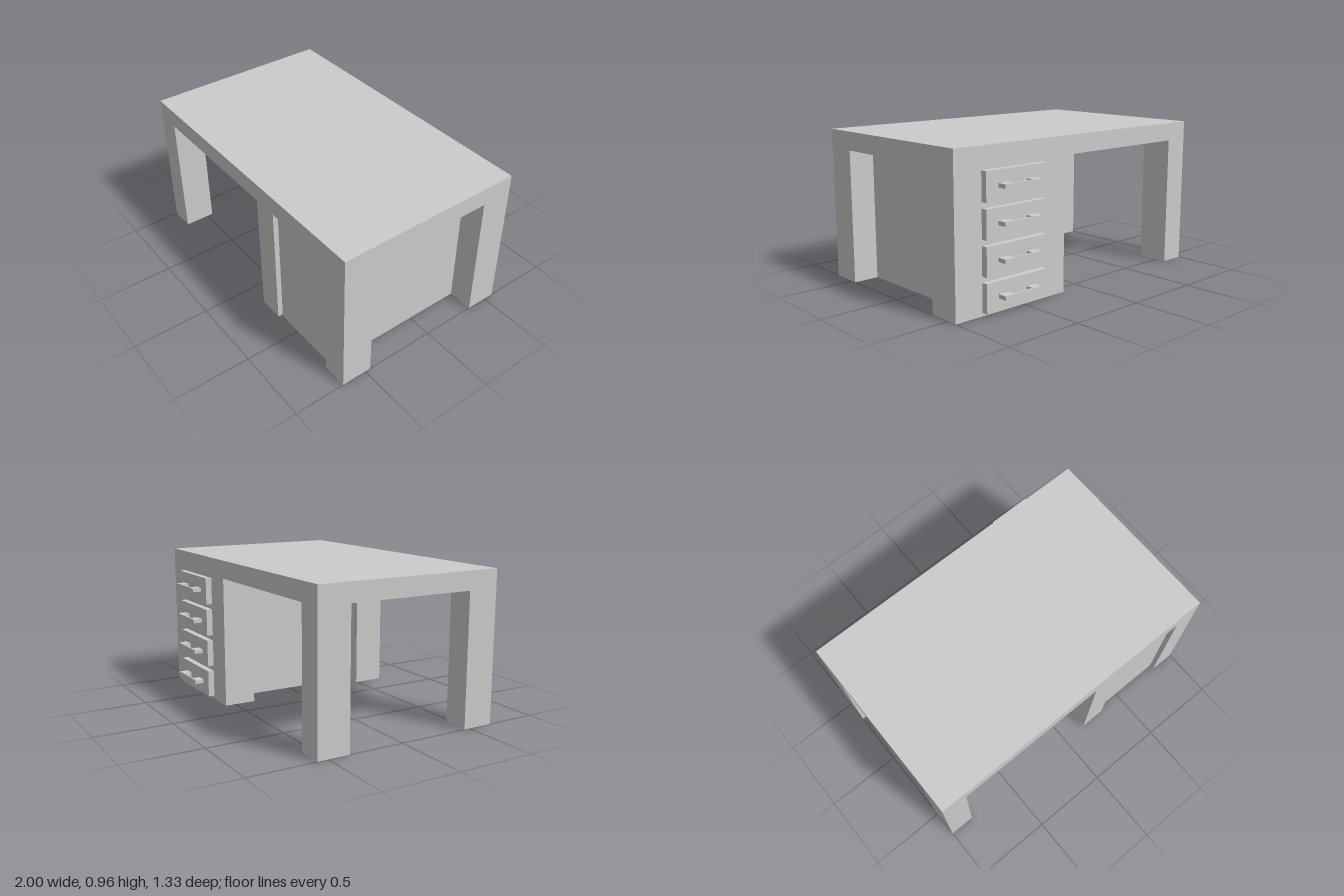
import * as THREE from 'three';

const material = new THREE.MeshStandardMaterial({ color: 0xcccccc, flatShading: true });

// Box given by its lower and upper limits on each axis
function block(name, [x0, x1], [y0, y1], [z0, z1]) {
  const mesh = new THREE.Mesh(new THREE.BoxGeometry(x1 - x0, y1 - y0, z1 - z0), material);
  mesh.name = name;
  mesh.position.set((x0 + x1) / 2, (y0 + y1) / 2, (z0 + z1) / 2);
  return mesh;
}

const BACK = -0.567, FRONT = 0.665, UNDER = 0.843, TOP = 0.96;
const DRAWER_FACE = -0.607;

// U-shaped pull, its feet on the drawer face and its bar towards the back
function handleGeometry(thickness) {
  const depth = 0.058, bar = 0.012;
  const shape = new THREE.Shape([
    [-0.142, 0], [-0.072, 0], [-0.072, depth - bar], [0.072, depth - bar],
    [0.072, 0], [0.142, 0], [0.142, depth], [-0.142, depth],
  ].map(([x, y]) => new THREE.Vector2(x, y)));
  const geometry = new THREE.ExtrudeGeometry(shape, { depth: thickness, bevelEnabled: false });
  return geometry.translate(0, 0, -thickness / 2).rotateX(-Math.PI / 2);
}

export function createModel() {
  const desk = new THREE.Group();
  desk.name = 'desk';

  desk.add(block('deskTop', [-1, 1], [UNDER, TOP], [BACK, FRONT]));

  // Outer legs and the posts on the inner side of the cabinet
  const columns = { rightLeg: [-1, -0.835], innerPost: [0.167, 0.333], leftLeg: [0.835, 1] };
  for (const [name, xs] of Object.entries(columns)) {
    const frontFoot = name === 'innerPost' ? 0.014 : 0;
    desk.add(block(name + 'Front', xs, [frontFoot, UNDER], [0.462, FRONT]));
    desk.add(block(name + 'Back', xs, [0, UNDER], [BACK, -0.36]));
  }

  // Cabinet between the posts, its front panel slightly set back
  desk.add(block('cabinet', [0.333, 0.835], [0, UNDER], [BACK, 0.632]));

  // Four drawers with pulls
  const pull = handleGeometry(0.025);
  for (let i = 0; i < 4; i++) {
    const y = 0.108 + i * 0.21;
    const drawer = new THREE.Group();
    drawer.name = 'drawer' + (i + 1);
    drawer.add(block('drawerFront', [0.355, 0.81], [y - 0.087, y + 0.087], [DRAWER_FACE, BACK]));
    const handle = new THREE.Mesh(pull, material);
    handle.name = 'drawerHandle';
    handle.position.set(0.582, y, DRAWER_FACE);
    drawer.add(handle);
    desk.add(drawer);
  }
  return desk;
}
